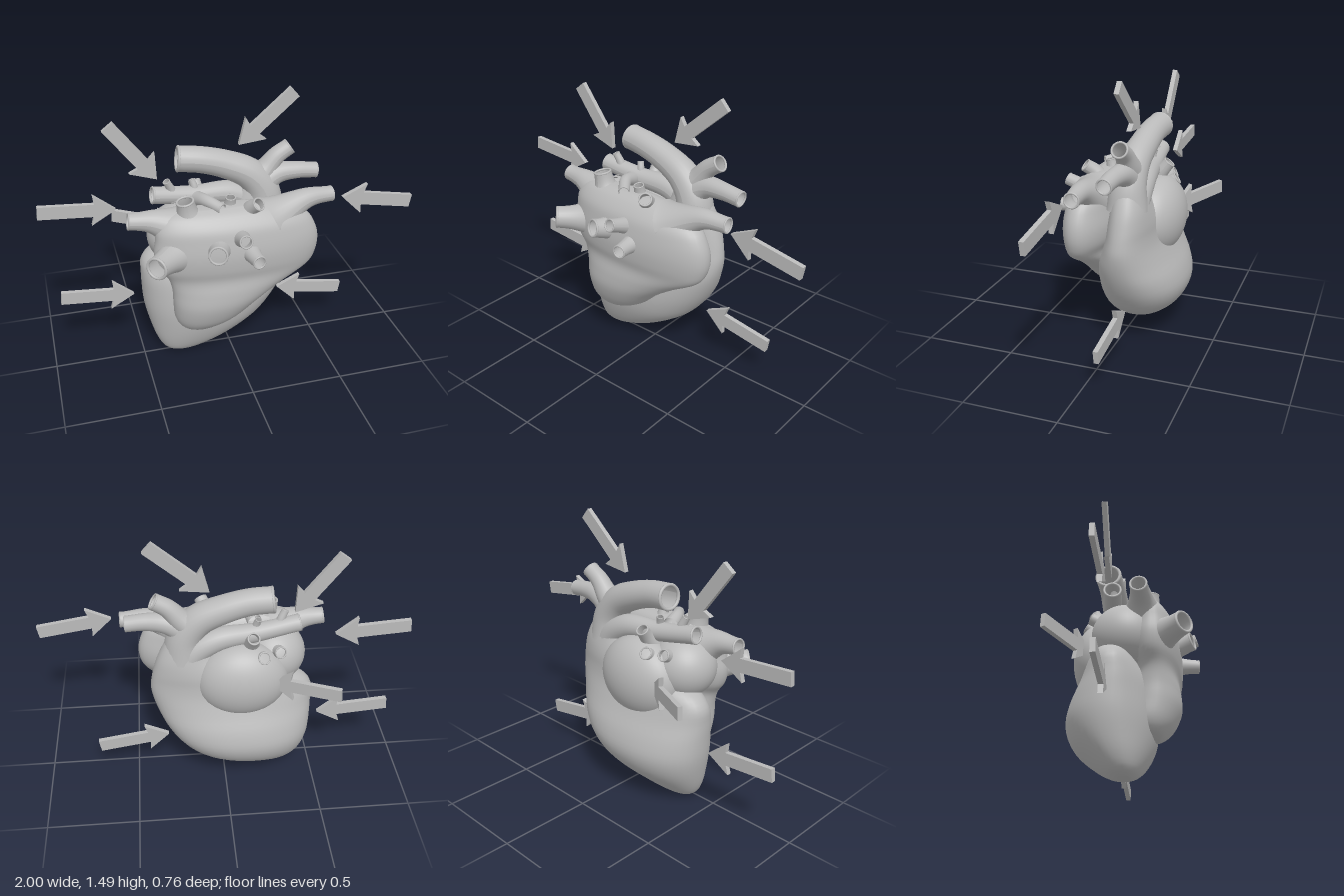
import * as THREE from 'three';

const grey = new THREE.MeshStandardMaterial({ color: 0xbababa, side: THREE.DoubleSide });
grey.name = 'plaster grey';

function add(group, name, geometry) {
  const mesh = new THREE.Mesh(geometry, grey);
  mesh.name = name;
  group.add(mesh);
  return mesh;
}

// Smooth closed body from stacked elliptical sections [y, xMin, xMax, zMin, zMax]
function loft(sections, rows = 48, sides = 48, power = 2.2) {
  const at = (t) => {
    const f = t * (sections.length - 1);
    const i = Math.min(Math.floor(f), sections.length - 2);
    const s = (k) => sections[Math.max(0, Math.min(sections.length - 1, k))];
    return s(i).map((b, c) => {
      const a = s(i - 1)[c], d = s(i + 1)[c], e = s(i + 2)[c], u = f - i;
      return 0.5 * (2 * b + (d - a) * u + (2 * a - 5 * b + 4 * d - e) * u * u
        + (3 * b - a - 3 * d + e) * u * u * u);
    });
  };
  const pos = [], index = [];
  const bend = (v) => Math.sign(v) * Math.abs(v) ** (2 / power);
  for (let r = 0; r <= rows; r++) {
    const [y, x0, x1, z0, z1] = at(r / rows);
    for (let s = 0; s < sides; s++) {
      const a = (s / sides) * Math.PI * 2;
      pos.push((x0 + x1) / 2 + bend(Math.cos(a)) * (x1 - x0) / 2, y,
        (z0 + z1) / 2 + bend(Math.sin(a)) * (z1 - z0) / 2);
      if (r === rows) continue;
      const p = r * sides + s, q = r * sides + (s + 1) % sides;
      index.push(p, p + sides, q, q, p + sides, q + sides);
    }
  }
  // Close both ends
  for (const r of [0, rows]) {
    const [y, x0, x1, z0, z1] = at(r / rows);
    const c = pos.length / 3;
    pos.push((x0 + x1) / 2, y, (z0 + z1) / 2);
    for (let s = 0; s < sides; s++) {
      const p = r * sides + s, q = r * sides + (s + 1) % sides;
      index.push(c, r ? q : p, r ? p : q);
    }
  }
  const g = new THREE.BufferGeometry();
  g.setAttribute('position', new THREE.Float32BufferAttribute(pos, 3));
  g.setIndex(index);
  g.computeVertexNormals();
  return g;
}

// Open vessel whose radius eases from r0 at the root to r1 at the rimmed mouth
function vessel(group, name, points, r0, r1) {
  const part = new THREE.Group();
  part.name = name;
  const curve = new THREE.CatmullRomCurve3(points.map((p) => new THREE.Vector3(...p)));
  const n = 28, sides = 24;
  const g = new THREE.TubeGeometry(curve, n, 1, sides);
  const pos = g.attributes.position, v = new THREE.Vector3();
  for (let i = 0; i <= n; i++) {
    const c = curve.getPointAt(i / n);
    const r = r1 + (r0 - r1) * (1 - i / n) ** 2;
    for (let j = 0; j <= sides; j++) {
      const k = i * (sides + 1) + j;
      v.fromBufferAttribute(pos, k).sub(c).multiplyScalar(r).add(c);
      pos.setXYZ(k, v.x, v.y, v.z);
    }
  }
  g.computeVertexNormals();
  add(part, name + 'Wall', g);
  const rim = add(part, name + 'Rim', new THREE.TorusGeometry(r1 * 0.9, r1 * 0.13, 8, 24));
  rim.position.copy(curve.getPointAt(1));
  rim.quaternion.setFromUnitVectors(new THREE.Vector3(0, 0, 1), curve.getTangentAt(1));
  group.add(part);
}

function lobe(group, name, centre, radii) {
  const mesh = add(group, name, new THREE.SphereGeometry(1, 40, 28));
  mesh.position.set(...centre);
  mesh.scale.set(...radii);
}

// Flat pointer plate from tail to tip
function arrow(group, tail, tip) {
  const a = new THREE.Vector3(...tail), b = new THREE.Vector3(...tip);
  const L = a.distanceTo(b), t = 0.026, w = 0.036, h = 0.087, neck = L - 0.115;
  const shape = new THREE.Shape([[0, -w], [neck, -w], [neck - 0.01, -h], [L, 0],
    [neck - 0.01, h], [neck, w], [0, w]].map((p) => new THREE.Vector2(...p)));
  const g = new THREE.ExtrudeGeometry(shape, { depth: t, bevelEnabled: false });
  g.translate(0, 0, -t / 2);
  const u = b.clone().sub(a).normalize();
  const n = u.clone().cross(new THREE.Vector3(0, 1, 0)).normalize();
  g.applyMatrix4(new THREE.Matrix4().makeBasis(u, n.clone().cross(u), n).setPosition(a));
  add(group, 'arrow', g);
}

export function createModel() {
  const model = new THREE.Group();
  model.name = 'heartWithArrows';

  // Main chamber, leaning up into the root of the great vessels
  add(model, 'ventricle', loft([
    [0.003, -0.33, -0.25, -0.04, 0.02],
    [0.03, -0.385, -0.14, -0.1, 0.06],
    [0.1, -0.425, 0.03, -0.185, 0.1],
    [0.2, -0.455, 0.19, -0.28, 0.135],
    [0.3, -0.475, 0.28, -0.32, 0.15],
    [0.4, -0.482, 0.34, -0.305, 0.145],
    [0.5, -0.485, 0.38, -0.26, 0.125],
    [0.59, -0.478, 0.4, -0.225, 0.085],
    [0.66, -0.4, 0.395, -0.21, 0.06],
    [0.73, -0.2, 0.38, -0.2, 0.04],
    [0.81, 0.0, 0.355, -0.18, 0.015],
    [0.9, 0.06, 0.31, -0.155, 0.0],
    [0.97, 0.1, 0.26, -0.13, -0.02],
    [1.0, 0.15, 0.22, -0.1, -0.05],
  ]));

  // Front chamber with its lower lobe
  add(model, 'frontChamber', loft([
    [0.218, -0.22, -0.17, 0.1, 0.16],
    [0.24, -0.295, -0.08, 0.05, 0.19],
    [0.3, -0.335, 0.03, 0.0, 0.235],
    [0.4, -0.345, 0.14, 0.0, 0.27],
    [0.49, -0.35, 0.27, 0.01, 0.272],
    [0.57, -0.37, 0.405, 0.03, 0.262],
    [0.64, -0.42, 0.45, 0.0, 0.275],
    [0.72, -0.44, 0.46, -0.01, 0.28],
    [0.8, -0.43, 0.44, 0.0, 0.27],
    [0.87, -0.42, 0.39, 0.01, 0.25],
    [0.93, -0.37, 0.27, 0.04, 0.2],
    [0.955, -0.25, 0.1, 0.08, 0.15],
  ]));
  lobe(model, 'sideLobe', [-0.27, 0.755, -0.005], [0.18, 0.17, 0.175]);
  lobe(model, 'backAtrium', [-0.09, 0.68, -0.14], [0.25, 0.22, 0.155]);

  // Great vessels: arch, its two branches and the lower trunk
  vessel(model, 'aorta', [[0.22, 0.8, -0.07], [0.205, 0.93, -0.07], [0.135, 1.025, -0.075],
    [0.0, 1.092, -0.085], [-0.13, 1.13, -0.09], [-0.25, 1.145, -0.1]], 0.11, 0.07);
  vessel(model, 'upperBranch', [[0.17, 0.98, -0.075], [0.23, 1.04, -0.08], [0.29, 1.11, -0.08],
    [0.36, 1.155, -0.08]], 0.08, 0.045);
  vessel(model, 'sideBranch', [[0.19, 0.95, -0.07], [0.29, 1.01, -0.07], [0.4, 1.02, -0.06],
    [0.51, 1.01, -0.055]], 0.08, 0.043);
  vessel(model, 'backTrunk', [[0.2, 0.68, -0.085], [0.18, 0.82, -0.095], [0.05, 0.91, -0.1],
    [-0.18, 0.935, -0.08], [-0.4, 0.97, -0.06]], 0.1, 0.047);

  // Vessels on the front chamber: root, middle, mouth, root radius, mouth radius
  const front = [
    ['rightUpperVessel', [-0.3, 0.84, 0.09], [-0.43, 0.895, 0.09], [-0.555, 0.91, 0.085], 0.13, 0.045],
    ['rightLowerVessel', [-0.27, 0.72, 0.11], [-0.37, 0.73, 0.21], [-0.455, 0.74, 0.3], 0.14, 0.06],
    ['leftVessel', [0.2, 0.84, 0.12], [0.4, 0.93, 0.11], [0.545, 0.935, 0.1], 0.13, 0.042],
    ['topVessel', [-0.23, 0.86, 0.12], [-0.25, 0.93, 0.12], [-0.265, 1.005, 0.125], 0.1, 0.048],
    ['frontVessel', [-0.11, 0.76, 0.2], [-0.125, 0.77, 0.27], [-0.145, 0.785, 0.335], 0.08, 0.05],
    ['frontVessel', [0.0, 0.8, 0.2], [0.0, 0.83, 0.28], [-0.005, 0.855, 0.355], 0.06, 0.035],
    ['frontVessel', [0.05, 0.73, 0.2], [0.055, 0.73, 0.29], [0.065, 0.73, 0.365], 0.07, 0.037],
    ['topVessel', [0.07, 0.87, 0.12], [0.08, 0.94, 0.16], [0.105, 0.98, 0.205], 0.07, 0.036],
    ['topVessel', [-0.02, 0.88, 0.1], [-0.02, 0.94, 0.1], [-0.02, 0.99, 0.11], 0.06, 0.028],
    ['curvedVessel', [-0.17, 0.95, 0.0], [-0.14, 0.97, 0.08], [-0.08, 0.955, 0.16], 0.04, 0.03],
  ];
  // Small vessels around the back trunk
  const back = [
    ['backVessel', [-0.17, 0.78, -0.12], [-0.19, 0.83, -0.17], [-0.2, 0.86, -0.215], 0.06, 0.034],
    ['backVessel', [-0.26, 0.8, -0.07], [-0.28, 0.84, -0.13], [-0.29, 0.865, -0.18], 0.06, 0.032],
    ['backVessel', [-0.14, 0.87, -0.11], [-0.14, 0.92, -0.15], [-0.145, 0.965, -0.185], 0.05, 0.034],
    ['backVessel', [-0.29, 0.93, -0.06], [-0.3, 0.99, -0.06], [-0.325, 1.045, -0.05], 0.035, 0.02],
    ['backVessel', [-0.17, 0.93, -0.08], [-0.17, 0.98, -0.08], [-0.18, 1.02, -0.09], 0.03, 0.018],
  ];
  for (const [name, a, b, c, r0, r1] of [...front, ...back]) vessel(model, name, [a, b, c], r0, r1);

  // Pointers around the heart
  const arrows = [
    [[-1, 0.935, -0.085], [-0.595, 0.905, -0.085]],
    [[-0.93, 0.4, -0.08], [-0.53, 0.365, -0.08]],
    [[-0.61, 1.37, -0.08], [-0.37, 1.055, -0.08]],
    [[0.38, 1.465, -0.08], [0.075, 1.2, -0.08]],
    [[0.995, 0.855, 0.142], [0.595, 0.925, 0.135]],
    [[0.71, 0.2, -0.08], [0.315, 0.265, -0.08]],
    [[-0.585, 0.715, -0.375], [-0.24, 0.69, -0.2]],
  ];
  for (const [tail, tip] of arrows) arrow(model, tail, tip);

  return model;
}
